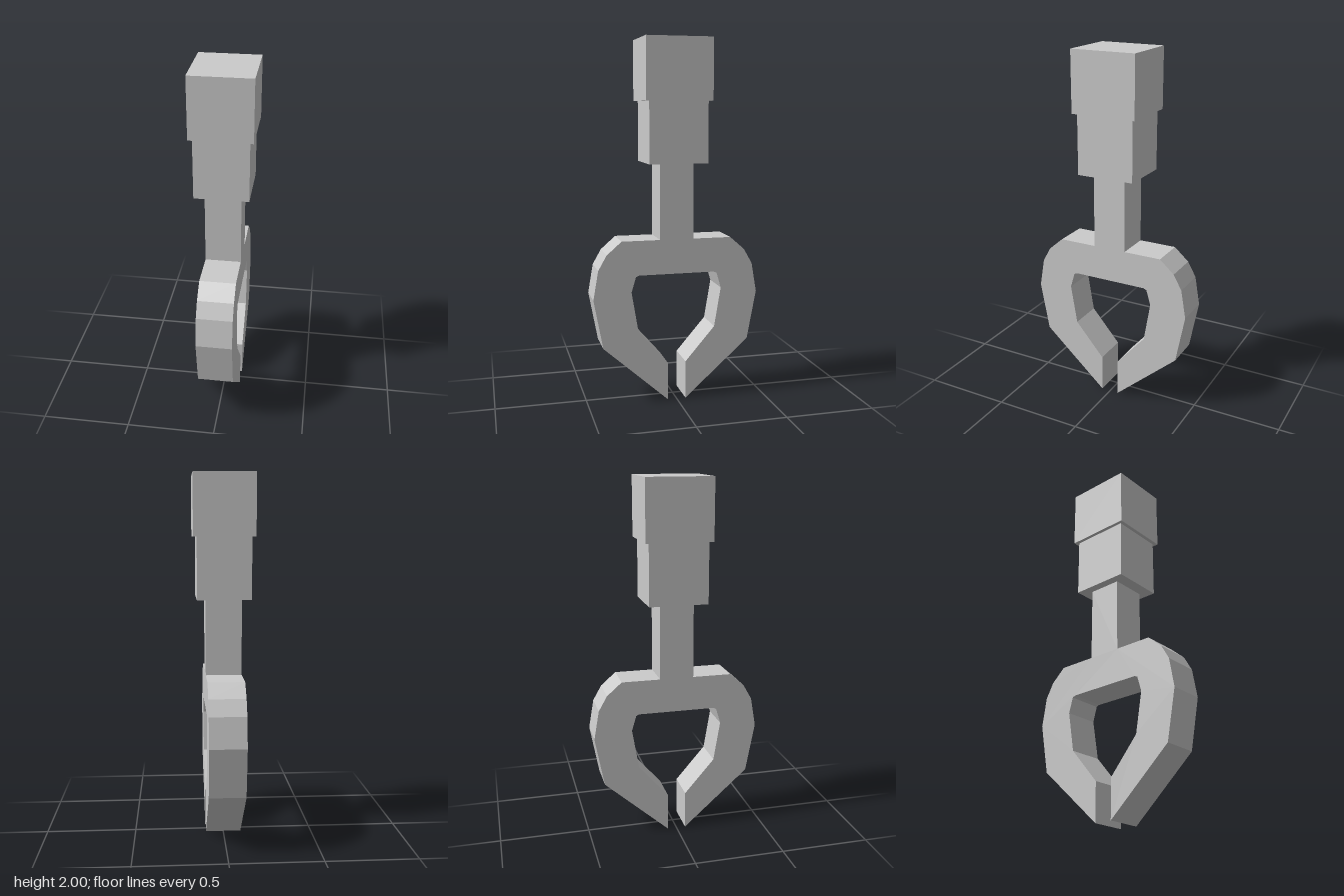
import * as THREE from 'three';

const material = new THREE.MeshStandardMaterial({ color: 0xcccccc, flatShading: true });

function addBlock(group, name, width, depth, bottom, top) {
  const mesh = new THREE.Mesh(new THREE.BoxGeometry(width, top - bottom, depth), material);
  mesh.name = name;
  mesh.position.y = (bottom + top) / 2;
  group.add(mesh);
}

export function createModel() {
  const group = new THREE.Group();
  group.name = 'grabberClaw';

  // Stacked square blocks of the mount
  addBlock(group, 'upperMountBlock', 0.333, 0.367, 1.667, 2);
  addBlock(group, 'lowerMountBlock', 0.293, 0.325, 1.333, 1.667);

  // Stem and two curved jaws: half outline as (z, y), mirrored across z = 0
  const half = [
    [0.094, 1.333], [0.094, 0.917], [0.308, 0.917], [0.39, 0.845], [0.437, 0.762],
    [0.465, 0.6], [0.414, 0.326], [0.051, 0.003], [0.051, 0.217], [0.218, 0.41],
    [0.255, 0.632], [0.23, 0.717], [0.213, 0.725],
  ];
  const outline = [...half, ...half.map(([z, y]) => [-z, y]).reverse()];
  const shape = new THREE.Shape(outline.map(([z, y]) => new THREE.Vector2(z, y)));
  const thickness = 0.197;
  const geometry = new THREE.ExtrudeGeometry(shape, { depth: thickness, bevelEnabled: false });
  geometry.translate(0, 0, -thickness / 2);
  geometry.rotateY(-Math.PI / 2);
  const claw = new THREE.Mesh(geometry, material);
  claw.name = 'stemAndJaws';
  group.add(claw);

  return group;
}
